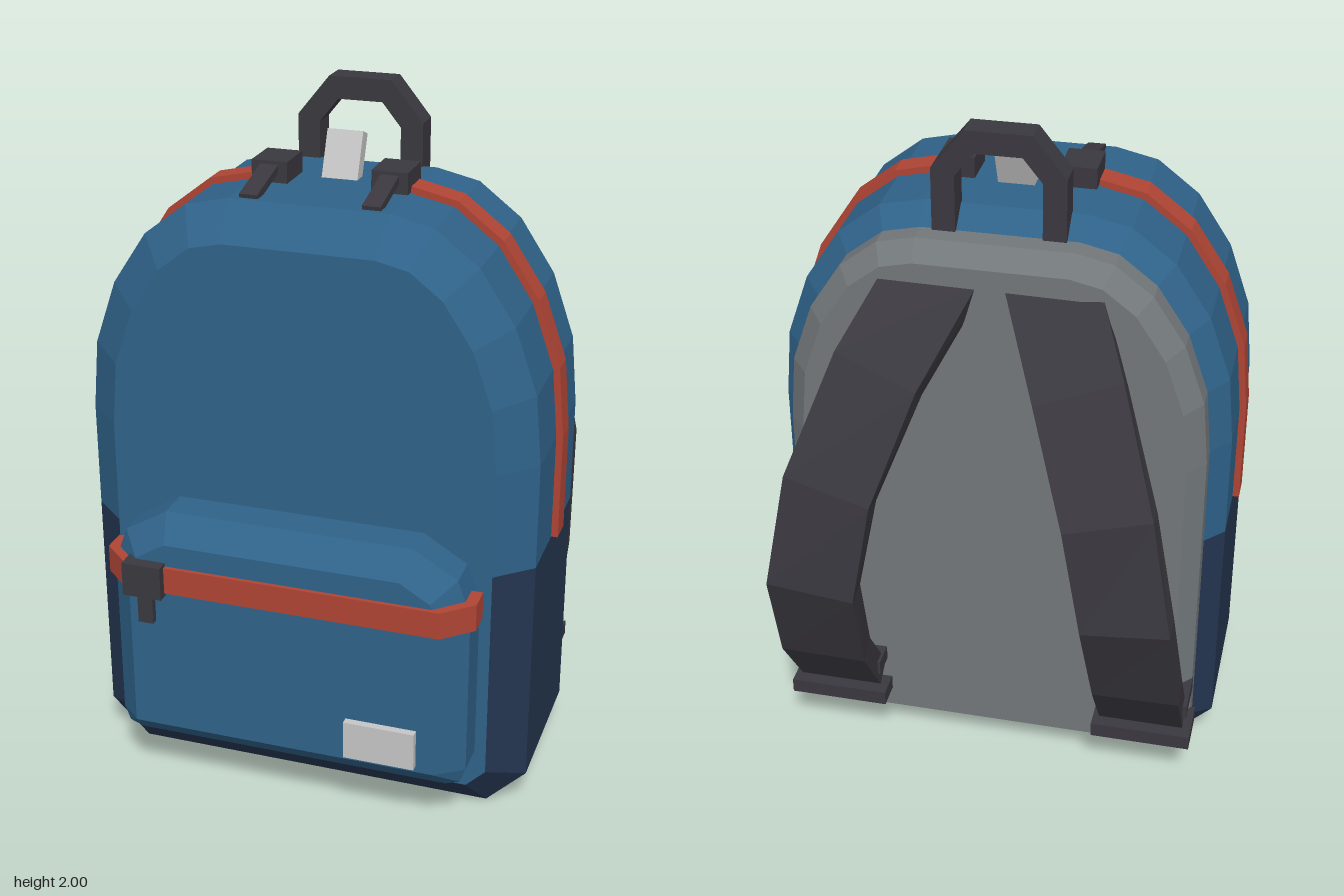
import * as THREE from 'three';

const mat = (name, color, extra = {}) => {
  const m = new THREE.MeshStandardMaterial({ color, flatShading: true, ...extra });
  m.name = name;
  return m;
};

// Inset (d > 0) or outset (d < 0) a closed counterclockwise outline with mitred corners
function inset(pts, d) {
  const n = pts.length;
  return pts.map((p, i) => {
    const e1 = p.clone().sub(pts[(i + n - 1) % n]).normalize();
    const e2 = pts[(i + 1) % n].clone().sub(p).normalize();
    const n1 = new THREE.Vector2(-e1.y, e1.x), n2 = new THREE.Vector2(-e2.y, e2.x);
    const k = d / (1 + n1.dot(n2));
    return p.clone().addScaledVector(n1.add(n2), k);
  });
}

// Mirror the right half of an outline, listed from bottom to top
function mirrorOutline(half) {
  const right = half.map(([x, y]) => new THREE.Vector2(x, y));
  return [...right, ...right.map(p => new THREE.Vector2(-p.x, p.y)).reverse()];
}

// Skin between rings; keep(a, b) selects side strips, caps = [first, last]
function loft(rings, keep = () => true, caps = [true, true]) {
  const pos = [];
  const tri = (...v) => v.forEach(p => pos.push(p.x, p.y, p.z));
  const n = rings[0].length;
  for (let i = 0; i < rings.length - 1; i++) {
    for (let j = 0; j < n; j++) {
      const k = (j + 1) % n;
      const a = rings[i][j], b = rings[i][k], c = rings[i + 1][k], d = rings[i + 1][j];
      if (!keep(a, b)) continue;
      tri(a, b, c);
      tri(a, c, d);
    }
  }
  const first = rings[0], last = rings[rings.length - 1];
  for (let j = 1; j < n - 1; j++) {
    if (caps[0]) tri(first[0], first[j + 1], first[j]);
    if (caps[1]) tri(last[0], last[j], last[j + 1]);
  }
  const g = new THREE.BufferGeometry();
  g.setAttribute('position', new THREE.Float32BufferAttribute(pos, 3));
  g.computeVertexNormals();
  return g;
}

// Rings of an outline given as [z, inset] pairs from back to front
const layers = (outline, list) => list.map(([z, d]) =>
  inset(outline, d).map(p => new THREE.Vector3(p.x, p.y, z)));

const extrude = (pts, depth) =>
  new THREE.ExtrudeGeometry(new THREE.Shape(pts), { depth, bevelEnabled: false });

export function createModel() {
  const blue = mat('blue fabric', 0x2f6289);
  const navy = mat('navy base', 0x243650);
  const red = mat('red zipper', 0xb04535);
  const grey = mat('grey padding', 0x72777a);
  const charcoal = mat('charcoal webbing', 0x3a383f);
  const light = mat('light tag', 0xc6c6c6);

  const group = new THREE.Group();
  const add = (name, geo, material, x = 0, y = 0, z = 0) => {
    const m = new THREE.Mesh(geo, material);
    m.name = name;
    m.position.set(x, y, z);
    group.add(m);
    return m;
  };
  const box = (name, w, h, d, material, x, y, z) =>
    add(name, new THREE.BoxGeometry(w, h, d), material, x, y, z);

  // Main bag: arched outline with bevelled front and back, navy below the seam
  const seam = 0.79;
  const outline = mirrorOutline([
    [0.54, 0], [0.655, 0.115], [0.655, seam], [0.655, 1.1], [0.637, 1.3],
    [0.573, 1.485], [0.473, 1.637], [0.35, 1.732], [0.225, 1.76],
  ]);
  const bodyRings = layers(outline, [[-0.19, 0.065], [-0.12, 0], [0.34, 0], [0.43, 0.1]]);
  const isBase = (a, b) => Math.max(a.y, b.y) < seam + 0.001;
  add('bagUpper', loft(bodyRings, (a, b) => !isBase(a, b)), blue);
  add('bagBase', loft(bodyRings, isBase, [false, false]), navy);

  // Padded back panel
  add('backPanel', loft(layers(outline, [[-0.3, 0.105], [-0.245, 0.055], [-0.165, 0.055]])), grey);

  // Front pocket
  const pocket = mirrorOutline([
    [0.465, 0.165], [0.505, 0.18], [0.522, 0.225], [0.522, 0.72], [0.485, 0.82], [0.36, 0.895],
  ]);
  add('frontPocket', loft(layers(pocket, [[0.42, 0], [0.53, 0], [0.6, 0.07]])), blue);

  // Pocket zipper band wrapping round the pocket
  const wrap = [[0.54, -0.465], [0.54, -0.537], [0.457, -0.612]];
  const wrapPts = [...wrap, ...wrap.map(([x, y]) => [-x, y]).reverse()]
    .map(([x, y]) => new THREE.Vector2(x, y));
  add('pocketZipper', extrude(wrapPts, 0.08).rotateX(-Math.PI / 2), red, 0, 0.68, 0);
  box('pocketZipperSlider', 0.115, 0.1, 0.06, charcoal, -0.397, 0.72, 0.607);
  box('pocketZipperPull', 0.045, 0.1, 0.02, charcoal, -0.393, 0.635, 0.617);
  box('pocketPatch', 0.205, 0.115, 0.03, light, 0.293, 0.312, 0.607);

  // Main zipper: one band, slider and pull on each side of the arch
  const outer = inset(outline, -0.019).slice(2, 9);
  const inner = inset(outline, 0.01).slice(2, 9).reverse();
  const band = [...outer, ...inner];
  for (const s of [1, -1]) {
    const side = s > 0 ? 'left' : 'right';
    const pts = band.map(p => new THREE.Vector2(s * p.x, p.y));
    add(side + 'MainZipper', extrude(pts, 0.077), red, 0, 0, 0.066);
    box(side + 'ZipperSlider', 0.103, 0.075, 0.125, charcoal, s * 0.172, 1.783, 0.103);
    const pull = box(side + 'ZipperPull', 0.052, 0.022, 0.18, charcoal, s * 0.172, 1.782, 0.238);
    pull.rotation.x = 0.24;
  }

  // Tilted top tag
  const tag = box('topTag', 0.104, 0.16, 0.042, light, 0, 1.804, 0.034);
  tag.rotation.x = -0.4;

  // Carry handle
  const arch = [[0.185, 1.68], [0.185, 1.885], [0.092, 2]];
  const archIn = [[0.065, 1.936], [0.12, 1.868], [0.12, 1.68]];
  const flip = list => list.map(([x, y]) => [-x, y]).reverse();
  const handle = [...arch, ...flip(arch), ...flip(archIn), ...archIn]
    .map(([x, y]) => new THREE.Vector2(x, y));
  add('carryHandle', extrude(handle, 0.08), charcoal, 0, 0, -0.19);

  // Shoulder straps: flat section swept along a bent path, with buckles at the foot
  const path = [
    [0.155, 1.61, -0.235], [0.275, 1.39, -0.44], [0.385, 1.09, -0.575],
    [0.445, 0.77, -0.595], [0.465, 0.455, -0.47], [0.465, 0.25, -0.325],
  ];
  for (const s of [1, -1]) {
    const side = s > 0 ? 'left' : 'right';
    const pts = path.map(([x, y, z]) => new THREE.Vector3(s * x, y, z));
    const rings = pts.map((p, i) => {
      const t = pts[Math.min(i + 1, pts.length - 1)].clone()
        .sub(pts[Math.max(i - 1, 0)]).normalize();
      const w = new THREE.Vector3(1, 0, 0);
      w.addScaledVector(t, -w.dot(t)).normalize();
      const n = t.clone().cross(w);
      return [[-1, -1], [1, -1], [1, 1], [-1, 1]].map(([u, v]) =>
        p.clone().addScaledVector(w, u * 0.125).addScaledVector(n, v * 0.038));
    });
    add(side + 'ShoulderStrap', loft(rings), charcoal);
    box(side + 'UpperBuckle', 0.27, 0.045, 0.14, charcoal, s * 0.467, 0.308, -0.308);
    box(side + 'LowerBuckle', 0.295, 0.045, 0.14, charcoal, s * 0.467, 0.193, -0.312);
  }

  return group;
}
